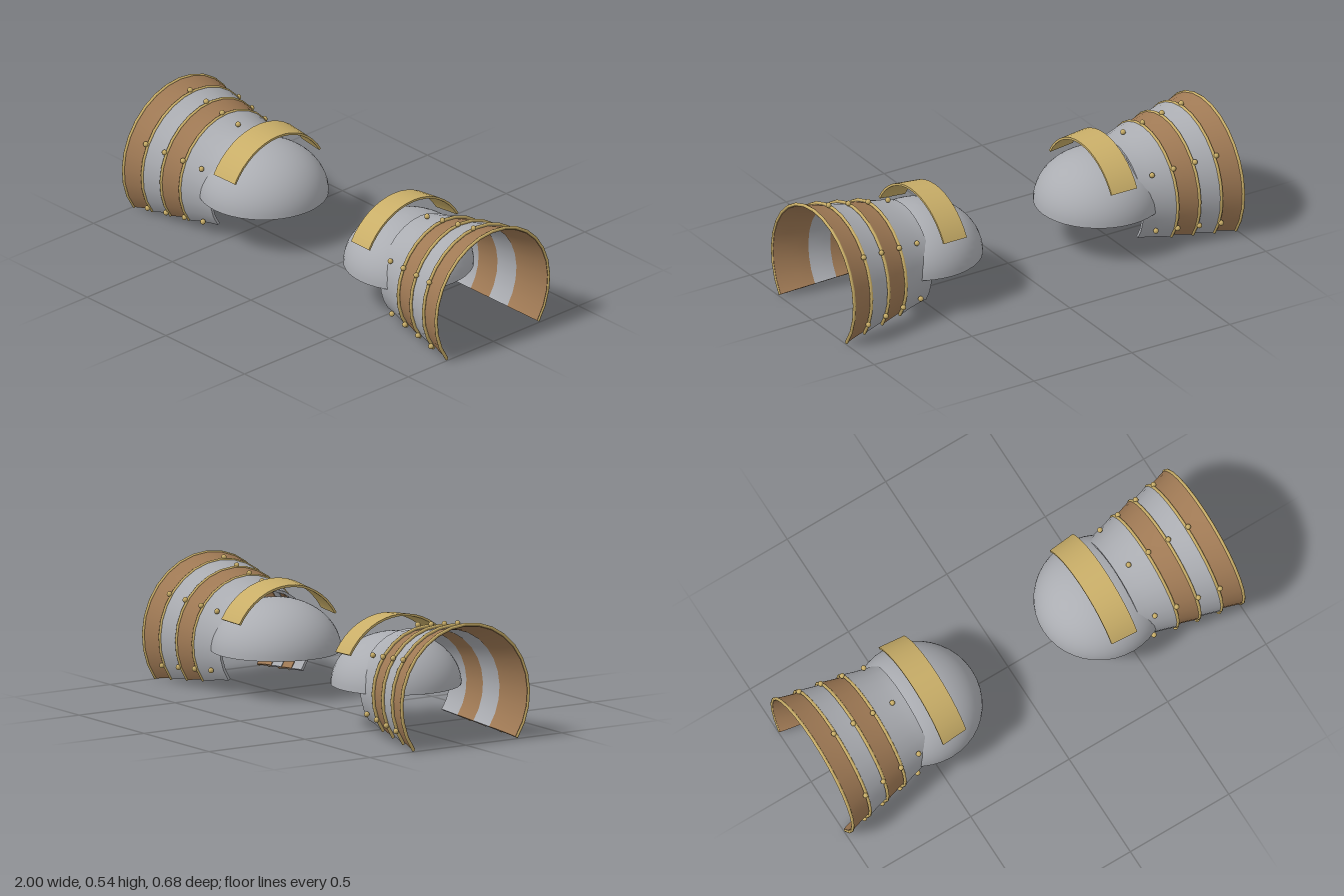
import * as THREE from 'three';
import { mergeGeometries } from 'three/addons/utils/BufferGeometryUtils.js';

const rad = THREE.MathUtils.degToRad;
const AXIS_Y = 0.2; // height of the arm axis

function material(name, color) {
  const m = new THREE.MeshStandardMaterial({ color, side: THREE.DoubleSide });
  m.name = name;
  return m;
}

// Thick curved plate about the x axis. rows are [x, outer radius];
// angles run from +z (0) over the top (90) to -z (180).
function arcPlate(rows, thick, from, to, segments) {
  const outer = rows.map(([x, r]) => new THREE.Vector2(r, x));
  const inner = rows.map(([x, r]) => new THREE.Vector2(r - thick, x)).reverse();
  const last = outer.length - 1;
  const strips = [outer, inner, [outer[last], inner[0]], [inner[last], outer[0]]];
  const parts = strips.map((p) =>
    new THREE.LatheGeometry(p, segments, rad(-to), rad(to - from)));
  const section = new THREE.Shape([...outer, ...inner]);
  for (const a of [from, to]) {
    parts.push(new THREE.ShapeGeometry(section).rotateY(rad(-a) - Math.PI / 2));
  }
  return mergeGeometries(parts).rotateZ(-Math.PI / 2);
}

export function createModel() {
  const steel = material('steel', 0xabadb2);
  const leather = material('leather', 0xa07a55);
  const brass = material('brass', 0xc9ae68);
  const START = -36, END = 216;

  function add(parent, name, geometry, mat, x, y, z = 0) {
    const mesh = new THREE.Mesh(geometry, mat);
    mesh.name = name;
    mesh.position.set(x, y, z);
    parent.add(mesh);
  }

  function buildShoulder(name) {
    const g = new THREE.Group();
    g.name = name;

    // Hollow domed cap
    const arc = (r, h) => Array.from({ length: 17 }, (_, i) => {
      const a = (i / 16) * Math.PI / 2;
      return new THREE.Vector2(Math.max(r * Math.cos(a), 0), h * Math.sin(a));
    });
    const outer = arc(0.283, 0.227), inner = arc(0.271, 0.217).reverse();
    const dome = mergeGeometries([outer, inner, [inner[16], outer[0]]]
      .map((p) => new THREE.LatheGeometry(p, 40)));
    add(g, 'domeCap', dome, steel, 0.462, 0.188);

    // Arched strap over the cap
    add(g, 'strap', arcPlate([[0.37, 0.293], [0.493, 0.305]], 0.01, 30, 150, 16),
      brass, 0, 0.192);

    // Four overlapping flared bands, each with an edge trim and five rivets
    for (let i = 0; i < 4; i++) {
      const x0 = 0.54 + i * 0.1, r0 = 0.24 + i * 0.0185;
      const rows = [];
      for (let j = 0; j <= 6; j++) {
        const t = j / 6;
        rows.push([x0 + 0.155 * t, r0 + 0.039 * Math.pow(t, 1.35)]);
      }
      add(g, 'band' + (i + 1), arcPlate(rows, 0.012, START, END, 20),
        i % 2 ? leather : steel, 0, AXIS_Y);

      const trim = new THREE.TorusGeometry(r0 + 0.0355, 0.007, 8, 20, rad(END - START));
      trim.rotateZ(rad(START)).rotateY(-Math.PI / 2);
      add(g, 'bandTrim' + (i + 1), trim, brass, x0 + 0.153, AXIS_Y);

      const rr = r0 + 0.025;
      for (let k = 0; k < 5; k++) {
        const a = rad(-31 + k * 58.3);
        add(g, 'rivet', new THREE.SphereGeometry(0.012, 10, 8), brass,
          x0 + 0.06, AXIS_Y + rr * Math.sin(a), rr * Math.cos(a));
      }
    }
    return g;
  }

  const model = new THREE.Group();
  model.name = 'shoulderArmour';
  const left = buildShoulder('leftShoulder');
  const right = buildShoulder('rightShoulder');
  right.scale.x = -1;
  model.add(left, right);
  return model;
}
